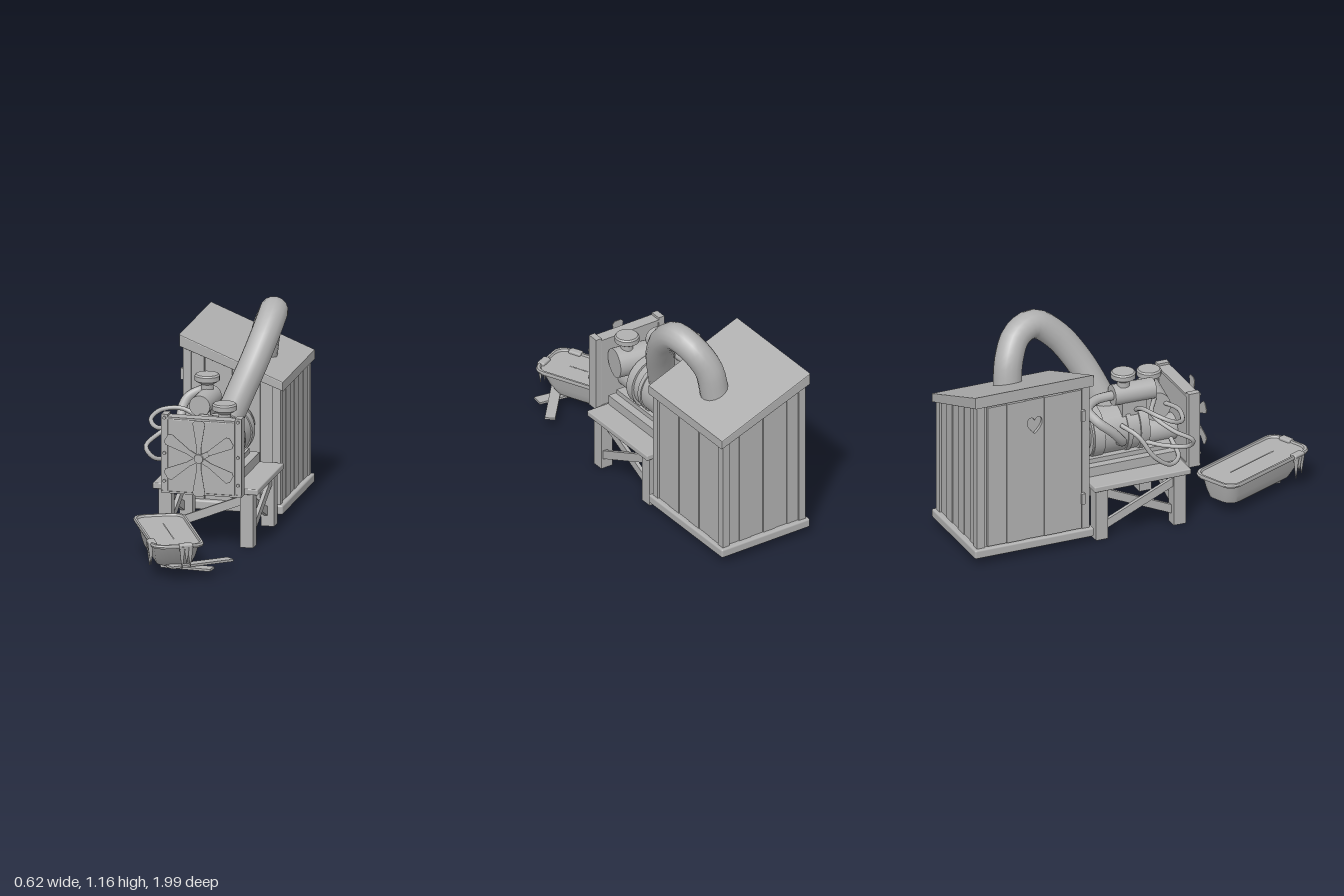
import * as THREE from 'three';
import { toCreasedNormals } from 'three/addons/utils/BufferGeometryUtils.js';
import { RoundedBoxGeometry } from 'three/addons/geometries/RoundedBoxGeometry.js';

const grey = new THREE.MeshStandardMaterial({ color: 0xb0b0b0, side: THREE.DoubleSide });
grey.name = 'plain grey';

const V = (p) => new THREE.Vector3(...p);

function add(parent, name, geometry) {
  const mesh = new THREE.Mesh(geometry, grey);
  mesh.name = name;
  parent.add(mesh);
  return mesh;
}

function group(parent, name) {
  const g = new THREE.Group();
  g.name = name;
  parent.add(g);
  return g;
}

// Box given by its limits, optionally with softened edges
function box(parent, name, x0, x1, y0, y1, z0, z1, round = 0) {
  const s = [x1 - x0, y1 - y0, z1 - z0];
  const geo = round ? new RoundedBoxGeometry(...s, 2, round) : new THREE.BoxGeometry(...s);
  const mesh = add(parent, name, geo);
  mesh.position.set((x0 + x1) / 2, (y0 + y1) / 2, (z0 + z1) / 2);
  return mesh;
}

// Timber running from point a to point b
function beam(parent, name, a, b, w, h) {
  const A = V(a), B = V(b);
  const mesh = add(parent, name, new THREE.BoxGeometry(w, h, A.distanceTo(B)));
  mesh.position.copy(A).add(B).multiplyScalar(0.5);
  mesh.lookAt(B);
  return mesh;
}

// Cylinder running from point a to point b
function rod(parent, name, a, b, r, r2 = r, sides = 24) {
  const A = V(a), B = V(b);
  const mesh = add(parent, name, new THREE.CylinderGeometry(r2, r, A.distanceTo(B), sides));
  mesh.position.copy(A).add(B).multiplyScalar(0.5);
  mesh.quaternion.setFromUnitVectors(new THREE.Vector3(0, 1, 0), B.sub(A).normalize());
  return mesh;
}

function hose(parent, name, points, r, steps = 40, sides = 10) {
  return add(parent, name, new THREE.TubeGeometry(new THREE.CatmullRomCurve3(points.map(V)), steps, r, sides));
}

function polygon(points) {
  return new THREE.Shape(points.map(([x, y]) => new THREE.Vector2(x, y)));
}

const extrude = (shape, depth) => new THREE.ExtrudeGeometry(shape, { depth, bevelEnabled: false, curveSegments: 8 });

// Height of the sloping roof top
const roofY = (x) => 0.975 - 0.396 * (x + 0.255);

function buildHut(root) {
  const hut = group(root, 'hut');
  box(hut, 'floor', -0.255, 0.302, 0.04, 0.09, -1, -0.322, 0.01);
  const roof = polygon([[-0.255, roofY(-0.255) - 0.065], [0.302, roofY(0.302) - 0.05], [0.302, roofY(0.302)], [-0.255, roofY(-0.255)]]);
  const bevel = 0.006;
  add(hut, 'roof', new THREE.ExtrudeGeometry(roof, {
    depth: 0.665, bevelThickness: bevel, bevelSize: bevel, bevelOffset: -bevel, bevelSegments: 2,
  })).position.z = -0.994;

  // Front and back planks follow the slope
  const plank = (name, x0, x1, z, d) => add(hut, name, extrude(polygon([
    [x0, 0.085], [x1, 0.085], [x1, roofY(x1) - 0.05], [x0, roofY(x0) - 0.05]]), d)).position.z = z;
  for (let i = 0; i < 6; i++) {
    const x0 = -0.2 + i * 0.075, inset = (i % 2) * 0.004;
    plank('frontPlank', x0, x0 + 0.073, -0.37 - inset, 0.02);
    plank('backPlank', x0, x0 + 0.073, -0.973 + inset, 0.02);
  }
  for (const x of [-0.237, 0.243]) for (const z of [-0.385, -0.982]) plank('cornerPost', x, x + 0.042, z, 0.045);

  // Low side wall
  for (let i = 0; i < 6; i++) {
    const z = -0.935 + i * 0.0915, inset = (i % 2) * 0.003;
    box(hut, 'sidePlank', 0.255, 0.279 - inset, 0.085, 0.72, z, z + 0.09);
  }
  // Doorway side with a heart cut in the door
  box(hut, 'doorWall', -0.228, -0.215, 0.085, 0.91, -0.94, -0.385);
  const door = group(hut, 'door');
  for (let i = 0; i < 5; i++) {
    const w = 0.105, z0 = -0.925 + i * 0.107;
    const s = polygon([[0, 0.1], [w, 0.1], [w, 0.9], [0, 0.9]]);
    if (i === 2) {
      const c = w / 2, h = new THREE.Path();
      h.moveTo(c, 0.7);
      h.bezierCurveTo(c - 0.02, 0.72, c - 0.047, 0.745, c - 0.042, 0.775);
      h.bezierCurveTo(c - 0.035, 0.8, c - 0.006, 0.8, c, 0.775);
      h.bezierCurveTo(c + 0.006, 0.8, c + 0.035, 0.8, c + 0.042, 0.775);
      h.bezierCurveTo(c + 0.047, 0.745, c + 0.02, 0.72, c, 0.7);
      s.holes.push(h);
    }
    const m = add(door, 'doorPlank', extrude(s, 0.018));
    m.rotation.y = -Math.PI / 2;
    m.position.set(-0.232 - (i % 2) * 0.003, 0, z0);
  }
  for (const y of [0.24, 0.72]) {
    box(door, 'hinge', -0.26, -0.24, y, y + 0.06, -0.395, -0.375);
  }
}

function buildBench(root) {
  const bench = group(root, 'bench');
  for (const x of [-0.23, 0.208]) for (const z of [-0.3, 0.142]) box(bench, 'leg', x, x + 0.07, 0, 0.295, z, z + 0.068);
  box(bench, 'leftBoard', 0.145, 0.308, 0.29, 0.322, -0.32, 0.23, 0.006);
  box(bench, 'rightBoard', -0.257, -0.095, 0.29, 0.322, -0.32, 0.23, 0.006);
  box(bench, 'frontCrossBoard', -0.1, 0.15, 0.292, 0.32, 0.1, 0.225);
  box(bench, 'backCrossBoard', -0.1, 0.15, 0.292, 0.32, -0.315, -0.2);
  for (const x of [-0.13, 0.13]) box(bench, 'engineSill', x, x + 0.05, 0.32, 0.375, -0.31, 0.22);
  box(bench, 'enginePan', -0.085, 0.135, 0.3, 0.4, -0.28, 0.21);
  for (const x of [-0.2, 0.245]) {
    beam(bench, 'sideBrace', [x - 0.012, 0.265, 0.18], [x - 0.012, 0.065, -0.27], 0.02, 0.045);
    beam(bench, 'sideBrace', [x + 0.012, 0.065, 0.18], [x + 0.012, 0.265, -0.27], 0.02, 0.045);
  }
  beam(bench, 'frontBrace', [-0.2, 0.08, 0.175], [0.245, 0.26, 0.175], 0.02, 0.045);
  beam(bench, 'backBrace', [-0.2, 0.26, -0.265], [0.245, 0.08, -0.265], 0.02, 0.045);
}

// Round filler with a stem and a wide cap
function cap(parent, name, x, y0, y1, z, r) {
  const h = y1 - y0;
  const profile = [[0, 0], [r * 0.5, 0], [r * 0.5, h * 0.35], [r * 0.8, h * 0.5], [r, h * 0.6], [r, h * 0.9], [r * 0.88, h], [0, h]];
  const geo = new THREE.LatheGeometry(profile.map(([a, b]) => new THREE.Vector2(a, b)), 20);
  add(parent, name, toCreasedNormals(geo, 0.6)).position.set(x, y0, z);
}

function buildEngine(root) {
  const engine = group(root, 'engine');
  const cx = 0.03, cy = 0.51;
  // Main drum with its bands: z start, z end, radius
  for (const [z0, z1, r] of [[-0.26, 0.05, 0.135], [0.01, 0.06, 0.147], [-0.06, -0.035, 0.142], [-0.25, -0.19, 0.142],
    [-0.335, -0.25, 0.105], [-0.335, -0.32, 0.12]]) rod(engine, 'drum', [cx, cy, z0], [cx, cy, z1], r, r, 32);
  rod(engine, 'driveHousing', [cx, 0.442, 0.05], [cx, 0.442, 0.25], 0.07);

  // Radiator
  const rad = group(engine, 'radiator');
  box(rad, 'core', -0.155, 0.205, 0.305, 0.695, 0.25, 0.315, 0.005);
  for (const x of [-0.19, 0.205]) {
    box(rad, 'sideRail', x, x + 0.035, 0.295, 0.718, 0.245, 0.31);
    for (const y of [0.36, 0.51, 0.7]) rod(rad, 'bolt', [x + 0.0175, y, 0.31], [x + 0.0175, y, 0.318], 0.009, 0.009, 6);
  }
  box(rad, 'topRail', -0.155, 0.205, 0.69, 0.705, 0.245, 0.312);
  box(rad, 'bottomRail', -0.19, 0.24, 0.295, 0.308, 0.245, 0.312);

  // Fan
  const fan = group(engine, 'fan');
  fan.position.set(0.025, 0.505, 0.358);
  const blade = polygon([[-0.011, 0.05], [0.011, 0.05], [0.034, 0.188], [0.02, 0.203], [-0.02, 0.203], [-0.034, 0.188]]);
  for (let i = 0; i < 6; i++) {
    const arm = group(fan, 'fanArm');
    arm.rotation.z = i * Math.PI / 3;
    add(arm, 'blade', extrude(blade, 0.004));
    box(arm, 'bladeRoot', -0.014, 0.014, 0.02, 0.058, -0.004, 0.006);
  }
  rod(fan, 'hub', [0, 0, -0.012], [0, 0, 0.014], 0.03, 0.024, 12);
  rod(fan, 'shaft', [0, 0, -0.05], [0, 0, 0], 0.013, 0.013, 12);

  // Tanks and filler caps
  rod(engine, 'crossTank', [-0.03, 0.6, 0.13], [0.18, 0.6, 0.165], 0.08);
  cap(engine, 'crossTankCap', 0.11, 0.67, 0.755, 0.152, 0.065);
  rod(engine, 'upperTank', [-0.03, 0.717, -0.12], [-0.035, 0.717, 0.11], 0.056);
  box(engine, 'upperTankMount', -0.07, 0.01, 0.6, 0.69, -0.08, 0.06);
  cap(engine, 'upperTankCap', -0.037, 0.765, 0.848, -0.06, 0.066);

  // Hoses looping along the right side
  hose(engine, 'returnHose', [[-0.03, 0.717, -0.11], [-0.045, 0.715, -0.22], [-0.11, 0.7, -0.295], [-0.19, 0.66, -0.27],
    [-0.21, 0.6, -0.2], [-0.18, 0.52, -0.13], [-0.08, 0.47, -0.1]], 0.025);
  hose(engine, 'upperHose', [[-0.05, 0.62, 0], [-0.16, 0.67, 0], [-0.26, 0.665, 0.04], [-0.295, 0.635, 0.11],
    [-0.25, 0.61, 0.18], [-0.14, 0.62, 0.21], [0, 0.61, 0.17]], 0.012);
  hose(engine, 'middleHose', [[-0.03, 0.65, 0.12], [-0.14, 0.62, 0.06], [-0.25, 0.56, 0.13], [-0.295, 0.51, 0.22],
    [-0.25, 0.455, 0.22], [-0.17, 0.44, 0.12], [-0.08, 0.45, 0.02]], 0.012);
  hose(engine, 'lowerHose', [[-0.1, 0.57, -0.1], [-0.19, 0.53, -0.04], [-0.23, 0.42, 0.03], [-0.215, 0.35, 0.13],
    [-0.16, 0.36, 0.2], [-0.06, 0.42, 0.2]], 0.012);

  // Wide duct arching from the engine into the roof
  hose(engine, 'duct', [[0.065, 0.6, -0.115], [0.11, 0.72, -0.16], [0.165, 0.87, -0.235], [0.205, 1.01, -0.34],
    [0.215, 1.09, -0.46], [0.185, 1.055, -0.57], [0.135, 0.95, -0.635], [0.11, 0.8, -0.655]], 0.076, 28, 16);
}

// Loft of rounded rectangles: half width, half length, height, z shift
function loft(sections) {
  const n = 32, pos = [], index = [];
  for (const [w, l, y, dz] of sections) {
    const r = Math.min(0.06, w);
    for (let i = 0; i < n; i++) {
      const q = Math.floor(i / 8), a = (q + (i % 8) / 7) * Math.PI / 2;
      const sx = q === 0 || q === 3 ? 1 : -1, sz = q < 2 ? 1 : -1;
      pos.push(sx * (w - r) + r * Math.cos(a), y, dz + sz * (l - r) + r * Math.sin(a));
    }
  }
  for (let j = 0; j < sections.length - 1; j++) for (let i = 0; i < n; i++) {
    const a = j * n + i, b = j * n + (i + 1) % n;
    index.push(a, a + n, b, b, a + n, b + n);
  }
  const geo = new THREE.BufferGeometry();
  geo.setAttribute('position', new THREE.Float32BufferAttribute(pos, 3));
  geo.setIndex(index);
  return toCreasedNormals(geo, 0.7);
}

function buildTray(root) {
  const tray = group(root, 'dripTray');
  tray.position.set(-0.06, 0, 0.665);
  tray.rotation.y = 0.427;
  add(tray, 'tub', loft([
    [0.001, 0.12, 0.046, -0.03], [0.07, 0.2, 0.047, -0.03], [0.092, 0.245, 0.065, -0.025], [0.105, 0.27, 0.11, -0.012],
    [0.118, 0.294, 0.178, 0], [0.136, 0.315, 0.18, 0], [0.139, 0.318, 0.19, 0], [0.135, 0.314, 0.2, 0],
    [0.124, 0.303, 0.2, 0], [0.12, 0.298, 0.189, 0], [0.001, 0.17, 0.189, 0]]));

  // Liquid running over the rim in pointed drips
  const drips = (x, z, turn) => {
    const g = group(tray, 'drips');
    g.position.set(x, 0, z);
    g.rotation.y = turn;
    box(g, 'spill', -0.036, 0.036, 0.175, 0.204, -0.03, 0.012, 0.008);
    for (const [dx, tip] of [[-0.02, 0.065], [0.004, 0.1], [0.023, 0.08]]) {
      rod(g, 'drip', [dx, tip, -0.002], [dx, 0.19, 0], 0.002, 0.016, 10);
    }
  };
  drips(-0.136, 0.21, -Math.PI / 2);
  drips(0.036, 0.315, 0);

  // Loose boards lying under the tray
  beam(root, 'looseBoard', [0.265, 0.052, 0.632], [0.01, 0.07, 0.925], 0.055, 0.012);
  beam(root, 'looseBoard', [-0.06, 0.042, 0.79], [0.215, 0.046, 0.825], 0.065, 0.012);
}

export function createModel() {
  const root = new THREE.Group();
  root.name = 'engineHut';
  buildHut(root);
  buildBench(root);
  buildEngine(root);
  buildTray(root);
  return root;
}
